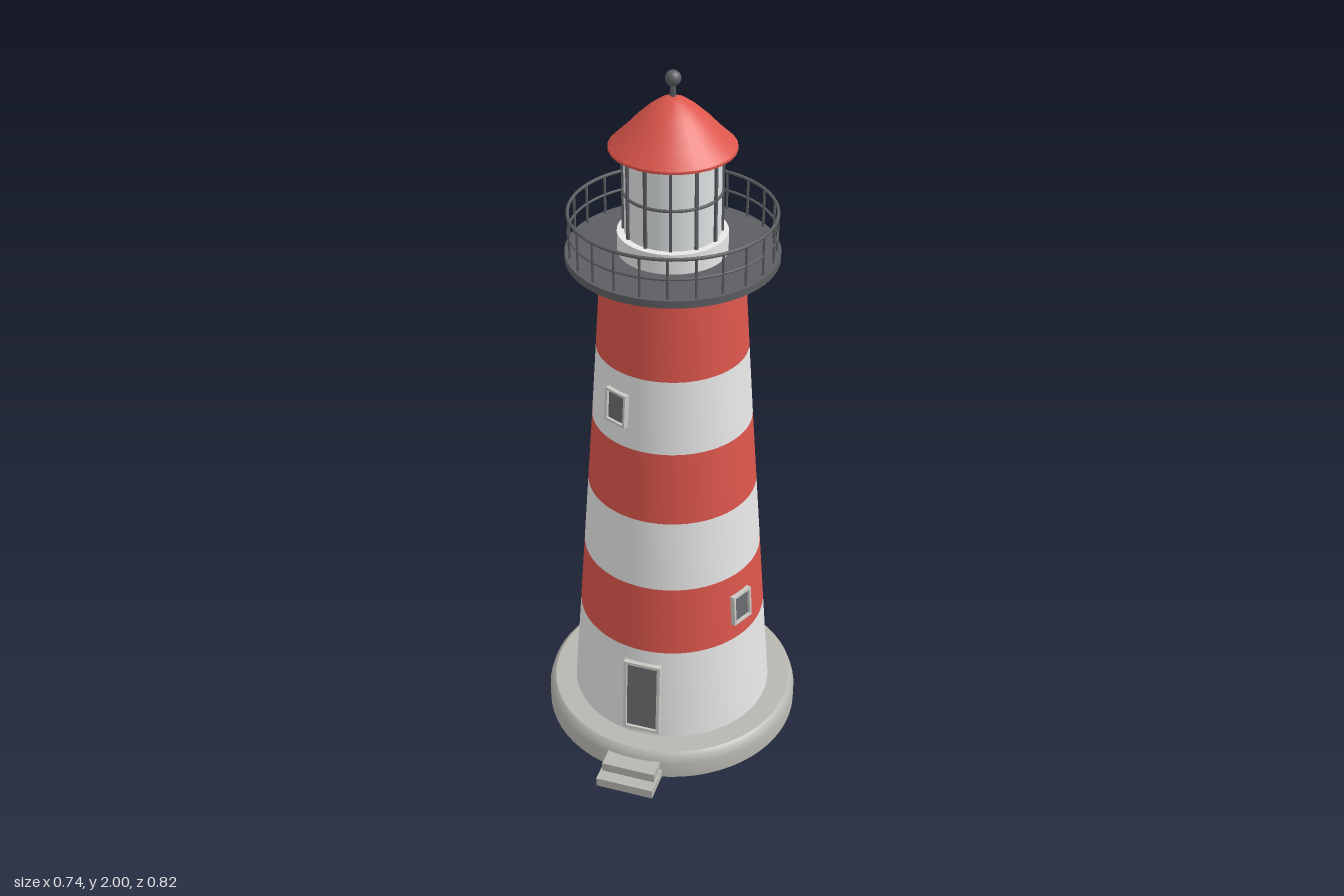
import * as THREE from 'three';
import { toCreasedNormals } from 'three/addons/utils/BufferGeometryUtils.js';

const material = (name, color, side = THREE.FrontSide) => {
  const m = new THREE.MeshStandardMaterial({ color, side });
  m.name = name;
  return m;
};

export function createModel() {
  const white = material('white paint', 0xf0f0f0, THREE.DoubleSide);
  const red = material('red paint', 0xdc564c, THREE.DoubleSide);
  const stone = material('stone', 0xb8b6b0, THREE.DoubleSide);
  const trim = material('trim', 0xcbc9c4);
  const metal = material('dark metal', 0x5c5e61);
  const pane = material('dark pane', 0x686b6f);
  const glass = material('lantern glass', 0xdfe3e4);

  const model = new THREE.Group();
  model.name = 'lighthouse';
  const tower = new THREE.Group(); // everything round the tower axis
  tower.name = 'tower';
  tower.position.z = -0.04;
  model.add(tower);

  const add = (name, geometry, mat, x = 0, y = 0, z = 0, parent = tower) => {
    const mesh = new THREE.Mesh(geometry, mat);
    mesh.name = name;
    mesh.position.set(x, y, z);
    parent.add(mesh);
    return mesh;
  };
  const lathe = (name, profile, mat, segments = 64) => {
    const points = profile.map(([r, y]) => new THREE.Vector2(r, y));
    return add(name, toCreasedNormals(new THREE.LatheGeometry(points, segments), 0.6), mat);
  };
  const ring = (name, radius, tube, y) => {
    const geometry = new THREE.TorusGeometry(radius, tube, 6, 64).rotateX(Math.PI / 2);
    return add(name, geometry, metal, 0, y, 0);
  };

  // Hollow foundation, open underneath
  lathe('foundation', [[0.37, 0], [0.37, 0.05], [0.363, 0.073], [0.352, 0.082], [0.28, 0.082]], stone);

  // Steps in front of the door
  add('lowerStep', new THREE.BoxGeometry(0.168, 0.028, 0.13), stone, 0, 0.014, 0.345, model);
  add('upperStep', new THREE.BoxGeometry(0.156, 0.028, 0.095), stone, 0, 0.042, 0.3275, model);

  // Tapering wall in alternating bands
  const wall = [[0.29, 0.08], [0.267, 0.38], [0.251, 0.595], [0.235, 0.81],
    [0.219, 1.025], [0.204, 1.24], [0.19, 1.45]];
  for (let i = 0; i < wall.length - 1; i++) {
    lathe(`wallBand${i + 1}`, [wall[i], wall[i + 1]], i % 2 ? red : white);
  }
  lathe('corbel', [[0.19, 1.45], [0.193, 1.468], [0.205, 1.485], [0.228, 1.502]], white);

  const wallRadius = (y) => {
    let i = 0;
    while (i < wall.length - 2 && y > wall[i + 1][1]) i++;
    const [[r0, y0], [r1, y1]] = [wall[i], wall[i + 1]];
    return r0 + (r1 - r0) * (y - y0) / (y1 - y0);
  };

  // Framed opening leaning with the wall; angle is measured from the front
  const opening = (name, degrees, y, w, h, border) => {
    const pivot = new THREE.Group();
    pivot.name = name;
    pivot.rotation.y = THREE.MathUtils.degToRad(degrees);
    const leaf = new THREE.Group();
    leaf.position.set(0, y, wallRadius(y));
    leaf.rotation.x = -0.074;
    pivot.add(leaf);
    tower.add(pivot);

    const rect = (target, a, b) => {
      target.moveTo(-a, -b).lineTo(a, -b).lineTo(a, b).lineTo(-a, b).closePath();
      return target;
    };
    const shape = rect(new THREE.Shape(), w / 2, h / 2);
    shape.holes.push(rect(new THREE.Path(), w / 2 - border, h / 2 - border));
    const frame = new THREE.ExtrudeGeometry(shape, { depth: 0.034, bevelEnabled: false });
    add(`${name}Frame`, frame, trim, 0, 0, -0.022, leaf);
    add(`${name}Panel`, new THREE.BoxGeometry(w - border, h - border, 0.024), pane, 0, 0, -0.008, leaf);
  };
  opening('door', 0, 0.219, 0.108, 0.236, 0.009);
  for (let i = 0; i < 4; i++) { // windows follow the inner stair
    opening(`window${i + 1}`, 65 + i * 90, 0.482 + i * 0.218, 0.072, 0.096, 0.007);
  }

  // Gallery deck and railing
  add('galleryDeck', new THREE.CylinderGeometry(0.278, 0.278, 0.02, 64), metal, 0, 1.51, 0);
  ring('galleryTopRail', 0.267, 0.0045, 1.628);
  ring('galleryMiddleRail', 0.267, 0.0035, 1.574);
  const postGeometry = new THREE.CylinderGeometry(0.0035, 0.0035, 0.11, 6);
  for (let i = 0; i < 24; i++) {
    const a = i / 24 * Math.PI * 2;
    add('railingPost', postGeometry, metal, 0.267 * Math.sin(a), 1.573, 0.267 * Math.cos(a));
  }

  // Lantern room with glazing bars
  add('lanternBase', new THREE.CylinderGeometry(0.143, 0.143, 0.055, 48), white, 0, 1.547, 0);
  add('lanternGlass', new THREE.CylinderGeometry(0.124, 0.124, 0.23, 48), glass, 0, 1.685, 0);
  const barGeometry = new THREE.BoxGeometry(0.008, 0.225, 0.008);
  for (let i = 0; i < 12; i++) {
    const a = (i + 0.5) / 12 * Math.PI * 2;
    const bar = add('glazingBar', barGeometry, metal, 0.126 * Math.sin(a), 1.6875, 0.126 * Math.cos(a));
    bar.rotation.y = a;
  }
  ring('glazingRing', 0.126, 0.004, 1.686);
  ring('lanternTopRing', 0.127, 0.005, 1.795);

  // Roof with finial
  lathe('roof', [[0, 1.8], [0.162, 1.8], [0.162, 1.807], [0.125, 1.842], [0.092, 1.877],
    [0.062, 1.904], [0.034, 1.924], [0.012, 1.933], [0, 1.935]], red, 28);
  add('finialStem', new THREE.CylinderGeometry(0.007, 0.007, 0.05, 10), metal, 0, 1.948, 0);
  add('finialBall', new THREE.SphereGeometry(0.02, 20, 14), metal, 0, 1.98, 0);

  return model;
}
